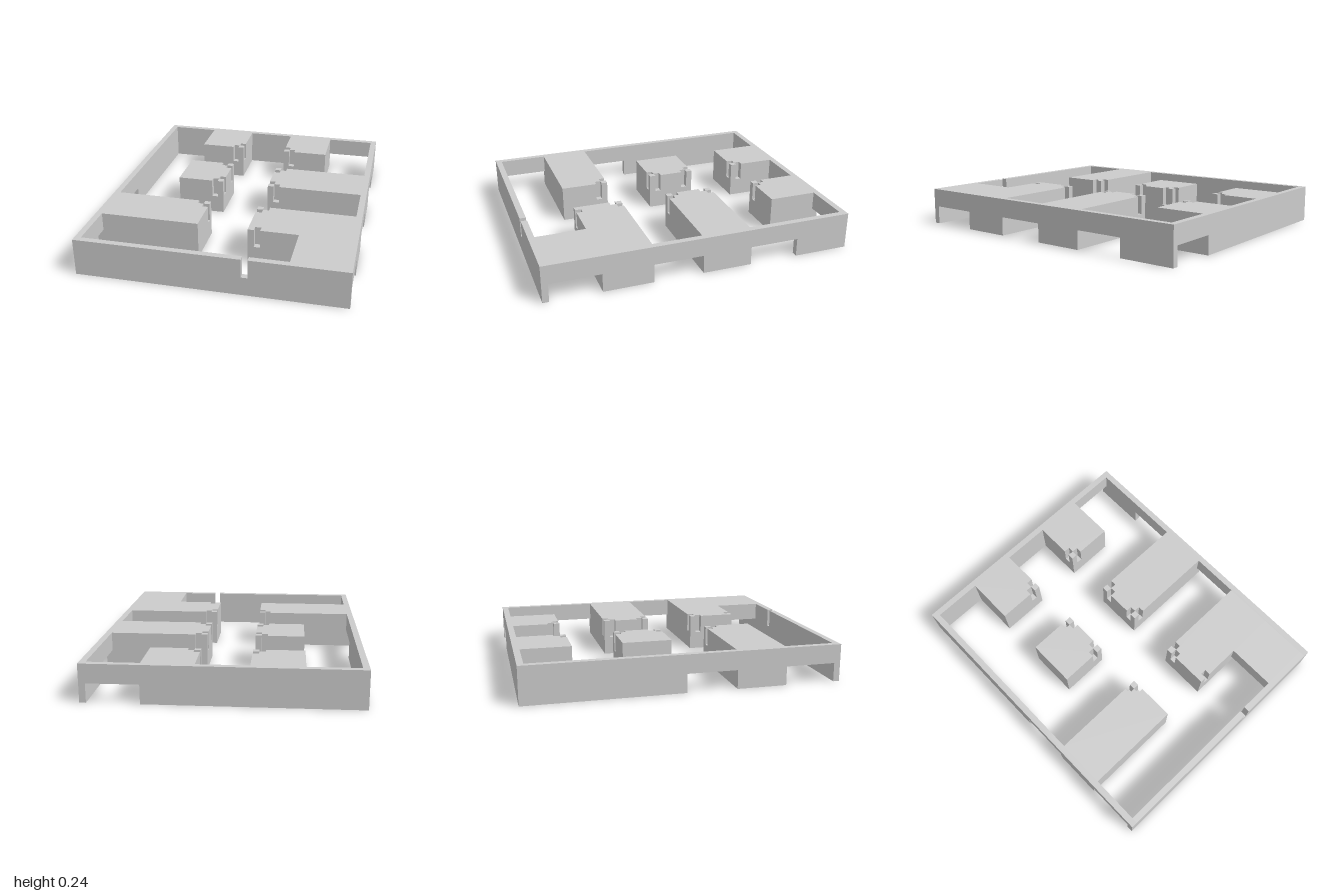
import * as THREE from 'three';

const H = 0.24;   // full height
const M = 0.12;   // floor of the slots and top of the wall openings
const S = 0.04;   // wall thickness and slot size

const material = new THREE.MeshStandardMaterial({ color: 0xcccccc, flatShading: true });

const extrude = (points, depth) => new THREE.ExtrudeGeometry(
  new THREE.Shape(points.map(([a, b]) => new THREE.Vector2(a, b))),
  { depth, bevelEnabled: false });

function addMesh(parent, name, geometry) {
  const mesh = new THREE.Mesh(geometry, material);
  mesh.name = name;
  parent.add(mesh);
  return mesh;
}

function addBox(parent, name, [x0, x1], [y0, y1], [z0, z1]) {
  const g = new THREE.BoxGeometry(x1 - x0, y1 - y0, z1 - z0);
  g.translate((x0 + x1) / 2, (y0 + y1) / 2, (z0 + z1) / 2);
  addMesh(parent, name, g);
}

// Side wall along z with openings cut up from the bottom
function addSideWall(parent, name, x, openings) {
  const points = [[-1, 0]];
  for (const [a, b] of openings) points.push([a, 0], [a, M], [b, M], [b, 0]);
  points.push([1, 0], [1, H], [-1, H]);
  const g = extrude(points, S);
  g.rotateY(-Math.PI / 2);
  g.translate(x + S, 0, 0);
  addMesh(parent, name, g);
}

// Corner cuts, in slot units towards the previous and the next corner
const CUTS = {
  plain: [[0, 0]],
  post: [[2, 0], [2, 1], [1, 1], [1, 2], [0, 2]],
  slot: [[2, 0], [2, 1], [1, 1], [1, 0], [0, 0]],
};

// Block whose upper half has slotted corners; a post stands free in each 'post' corner.
// Corner order: back right, back left, front left, front right
function addBlock(parent, name, [x0, x1], [z0, z1], cuts = {}, bridge = false) {
  const group = new THREE.Group();
  group.name = name;
  parent.add(group);
  const corners = [[x0, z0], [x1, z0], [x1, z1], [x0, z1]];
  const outline = [];
  corners.forEach(([cx, cz], i) => {
    const prev = corners[(i + 3) % 4], next = corners[(i + 1) % 4];
    const cut = cuts[i] || 'plain';
    for (const [a, b] of CUTS[cut]) {
      outline.push([
        cx + S * (a * Math.sign(prev[0] - cx) + b * Math.sign(next[0] - cx)),
        cz + S * (a * Math.sign(prev[1] - cz) + b * Math.sign(next[1] - cz)),
      ]);
    }
    if (cut === 'post') {
      const px = cx === x0 ? cx : cx - S, pz = cz === z0 ? cz : cz - S;
      addBox(group, 'cornerPost', [px, px + S], [M, H], [pz, pz + S]);
    }
  });
  const top = extrude(outline, H - M);
  top.rotateX(Math.PI / 2);
  top.translate(0, H, 0);
  addMesh(group, 'blockTop', top);
  if (!bridge) addBox(group, 'blockBase', [x0, x1], [0, M], [z0, z1]);
}

export function createModel() {
  const model = new THREE.Group();
  model.name = 'slottedTray';

  // Outer frame
  const shared = [[0, 0.32], [0.64, 0.96]];
  addSideWall(model, 'rightWall', -0.84, shared);
  addSideWall(model, 'leftWall', 0.8, [[-0.64, -0.32], ...shared]);

  // Front wall with one slot from the top
  const front = extrude([[-0.8, 0], [0.8, 0], [0.8, H], [0.24, H], [0.24, M],
    [0.2, M], [0.2, H], [-0.8, H]], S);
  addMesh(model, 'frontWall', front).position.z = 0.96;

  // Back wall with an opening beside the left wall
  const back = extrude([[-0.8, 0], [0.48, 0], [0.48, M], [0.8, M], [0.8, H], [-0.8, H]], S);
  addMesh(model, 'backWall', back).position.z = -1;

  // Inner blocks, back to front
  addBlock(model, 'backRightBlock', [-0.48, -0.16], [-0.96, -0.64], { 2: 'post' });
  addBlock(model, 'backLeftBlock', [0.16, 0.48], [-0.96, -0.64], { 3: 'post' });
  addBlock(model, 'middleRightBlock', [-0.48, -0.16], [-0.32, 0], { 1: 'post', 2: 'post' });
  addBlock(model, 'middleLeftBlock', [0.16, 0.8], [-0.32, 0], { 0: 'post', 3: 'post' });
  addBlock(model, 'frontRightBlock', [-0.8, -0.16], [0.32, 0.64], { 1: 'post' });
  addBlock(model, 'frontLeftBlock', [0.16, 0.8], [0.32, 0.64], { 0: 'post', 3: 'slot' });
  // Raised slab over the front left passage
  addBlock(model, 'frontLeftBridge', [0.48, 0.8], [0.64, 0.96], {}, true);

  return model;
}
